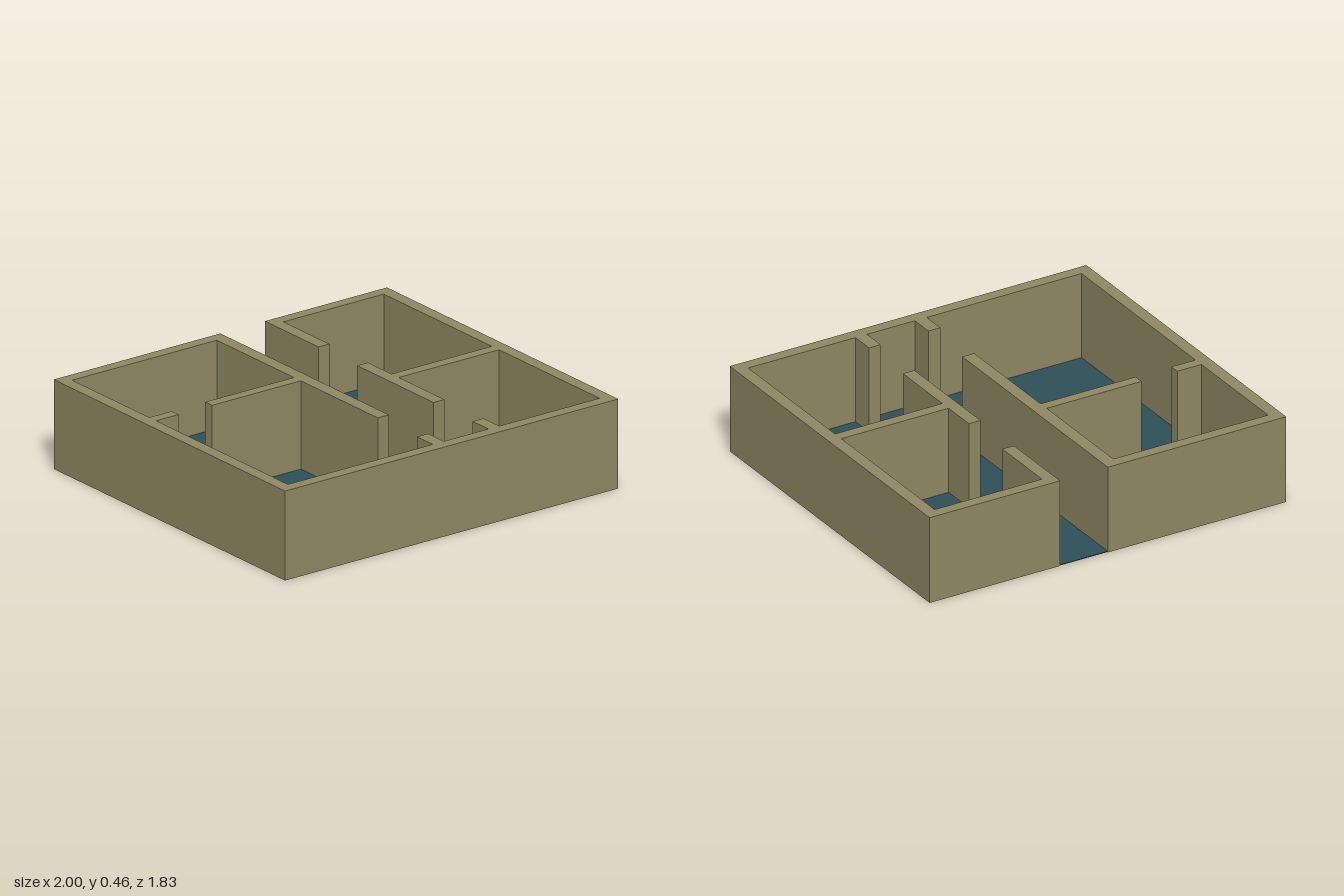
import * as THREE from 'three';

const HEIGHT = 0.46;
const wallMaterial = new THREE.MeshStandardMaterial({ color: 0x8f8762 });
const floorMaterial = new THREE.MeshStandardMaterial({ color: 0x2f4f58 });

// Box spanning x0..x1, y0..y1, z0..z1
function block(name, material, [x0, x1, z0, z1], y0, y1) {
  const mesh = new THREE.Mesh(new THREE.BoxGeometry(x1 - x0, y1 - y0, z1 - z0), material);
  mesh.position.set((x0 + x1) / 2, (y0 + y1) / 2, (z0 + z1) / 2);
  mesh.name = name;
  return mesh;
}

export function createModel() {
  const house = new THREE.Group();
  house.name = 'floorPlan';

  // Wall footprints: x0, x1, z0, z1
  const walls = {
    // Outer shell, open at the back where the hallway leaves
    rightOuterWall: [-1, -0.935, -0.917, 0.917],
    leftOuterWall: [0.935, 1, -0.917, 0.917],
    frontWall: [-0.935, 0.935, 0.855, 0.917],
    backWallRight: [-0.935, -0.067, -0.917, -0.857],
    backWallLeft: [0.333, 0.935, -0.917, -0.857],
    // Hallway walls, broken by doorways
    hallRightWall: [-0.067, 0, -0.917, 0.42],
    hallRightStub: [-0.067, 0, 0.73, 0.855],
    hallLeftBackWall: [0.268, 0.333, -0.917, -0.493],
    hallLeftMiddleWall: [0.268, 0.333, -0.187, 0.42],
    hallLeftStub: [0.268, 0.333, 0.73, 0.855],
    // Walls between rooms
    rightRoomsStub: [-0.935, -0.8, -0.245, -0.19],
    rightRoomsWall: [-0.6, -0.067, -0.245, -0.19],
    leftRoomsWall: [0.333, 0.935, 0, 0.058],
  };
  for (const [name, footprint] of Object.entries(walls)) {
    house.add(block(name, wallMaterial, footprint, 0, HEIGHT));
  }

  // Thin floor sheet, just inside the base of the walls
  house.add(block('floor', floorMaterial, [-0.99, 0.99, -0.916, 0.907], 0.002, 0.006));
  return house;
}
